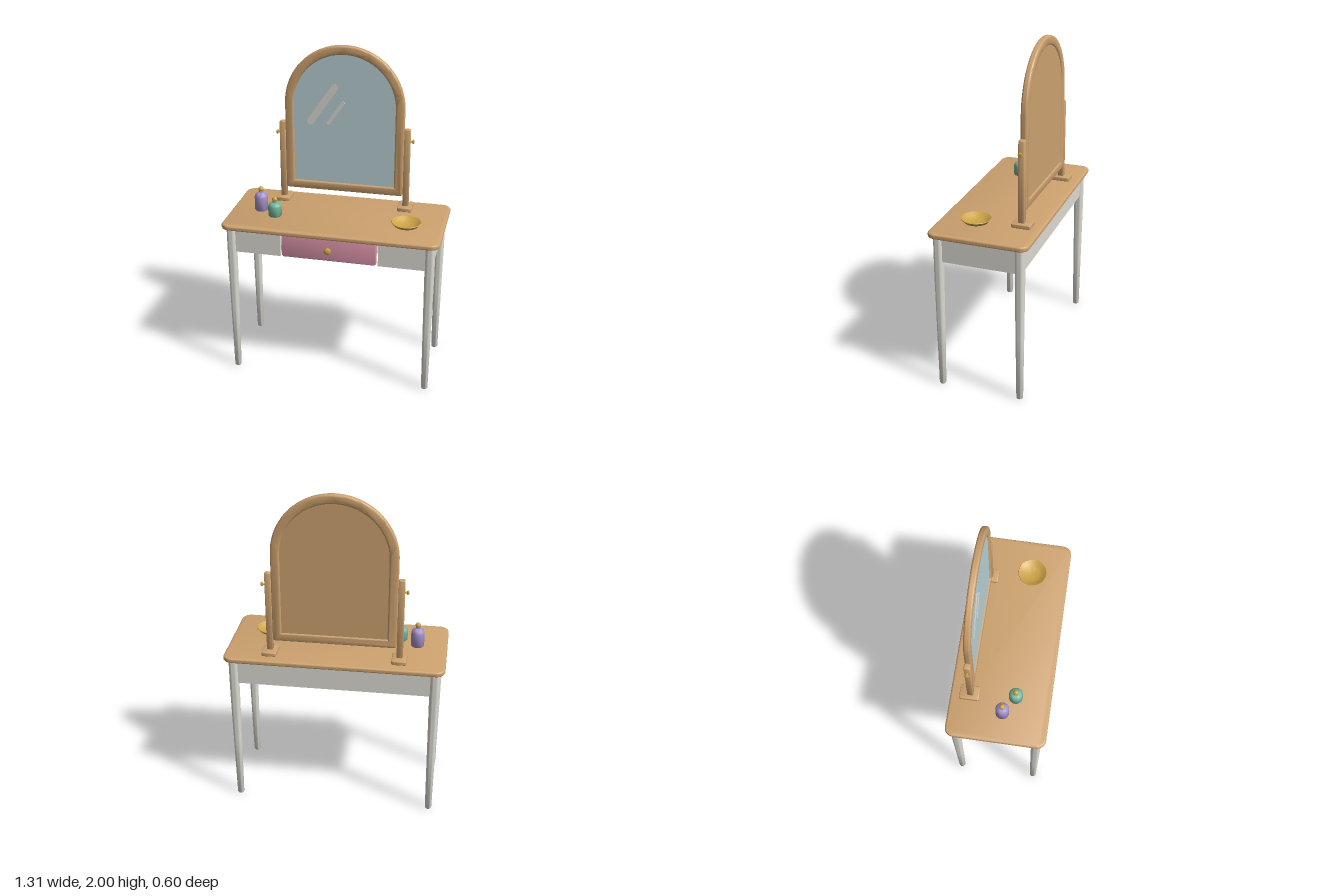
import * as THREE from 'three';
import { toCreasedNormals } from 'three/addons/utils/BufferGeometryUtils.js';

const mat = (name, color, side = THREE.FrontSide) => {
  const m = new THREE.MeshStandardMaterial({ color, side });
  m.name = name;
  return m;
};

export function createModel() {
  const wood = mat('wood', 0xcda26f);
  const paint = mat('whitePaint', 0xdedbd3);
  const pink = mat('pinkPaint', 0xdc94a9);
  const glass = mat('mirrorGlass', 0xb9d0d5);
  const brass = mat('brass', 0xcfa548, THREE.DoubleSide);
  const purple = mat('purpleGlass', 0xa391c9);
  const teal = mat('tealGlass', 0x74b39b);

  const root = new THREE.Group();
  root.name = 'vanityTable';

  const add = (name, geo, material, x = 0, y = 0, z = 0, parent = root) => {
    const mesh = new THREE.Mesh(geo, material);
    mesh.name = name;
    mesh.position.set(x, y, z);
    parent.add(mesh);
    return mesh;
  };
  const box = (name, w, h, d, material, x, y, z) =>
    add(name, new THREE.BoxGeometry(w, h, d), material, x, y, z);
  const lathe = (pts, seg = 20) => toCreasedNormals(
    new THREE.LatheGeometry(pts.map(p => new THREE.Vector2(...p)), seg).toNonIndexed(), 0.7);

  // Rounded rectangle outline centred on the origin
  const roundRect = (w, h, r) => {
    const s = new THREE.Shape(), x = w / 2, y = h / 2;
    s.moveTo(-x + r, -y);
    s.lineTo(x - r, -y);
    s.absarc(x - r, -y + r, r, -Math.PI / 2, 0);
    s.absarc(x - r, y - r, r, 0, Math.PI / 2);
    s.absarc(-x + r, y - r, r, Math.PI / 2, Math.PI);
    s.absarc(-x + r, -y + r, r, Math.PI, Math.PI * 1.5);
    return s;
  };
  // Arched outline: straight sides, half-round head, optional rounded feet
  const arch = (r, bottom, spring, corner, Type = THREE.Shape) => {
    const s = new Type();
    s.moveTo(-r + corner, bottom);
    s.lineTo(r - corner, bottom);
    s.quadraticCurveTo(r, bottom, r, bottom + corner);
    s.lineTo(r, spring);
    s.absarc(0, spring, r, 0, Math.PI);
    s.lineTo(-r, bottom + corner);
    s.quadraticCurveTo(-r, bottom, -r + corner, bottom);
    return s;
  };
  // Extrusion centred in depth whose bevel stays inside the outline
  const slab = (shape, depth, bevel = 0, curveSegments = 8) => {
    const g = new THREE.ExtrudeGeometry(shape, {
      depth: depth - 2 * bevel, bevelEnabled: bevel > 0, bevelSize: bevel,
      bevelThickness: bevel, bevelOffset: -bevel, bevelSegments: 4, curveSegments,
    });
    g.translate(0, 0, bevel - depth / 2);
    return toCreasedNormals(g, 0.6);
  };

  // Table top
  add('tableTop', slab(roundRect(1.31, 0.6, 0.055), 0.032, 0.013).rotateX(-Math.PI / 2),
    wood, 0, 0.984, 0);

  // Tapered round legs
  const legGeo = lathe([[0, 0], [0.017, 0], [0.02, 0.005], [0.025, 0.4],
    [0.029, 0.75], [0.029, 0.972], [0, 0.972]]);
  for (const x of [-0.598, 0.598])
    for (const z of [-0.243, 0.243]) add('leg', legGeo, paint, x, 0, z);

  // Aprons, with drawer dividers and runners underneath
  const apronY = 0.892, apronH = 0.155;
  box('backApron', 1.19, apronH, 0.024, paint, 0, apronY, -0.243);
  for (const s of [-1, 1]) {
    box('sideApron', 0.024, apronH, 0.48, paint, s * 0.598, apronY, 0);
    box('frontApron', 0.3, apronH, 0.024, paint, s * 0.445, apronY, 0.243);
    box('drawerRunner', 0.022, 0.05, 0.46, paint, s * 0.306, 0.85, 0);
  }

  // Drawer: front, tray and knob
  add('drawerFront', slab(roundRect(0.57, 0.149, 0.014), 0.03, 0.006), pink, 0, 0.891, 0.246);
  box('drawerBottom', 0.54, 0.012, 0.42, paint, 0, 0.836, 0.02);
  box('drawerBack', 0.54, 0.1, 0.012, paint, 0, 0.886, -0.184);
  for (const s of [-1, 1]) box('drawerSide', 0.012, 0.1, 0.42, paint, s * 0.264, 0.886, 0.02);
  add('drawerKnob', lathe([[0, 0], [0.01, 0], [0.01, 0.014], [0.021, 0.02], [0.021, 0.03],
    [0.013, 0.036], [0, 0.037]], 10).rotateX(Math.PI / 2), brass, 0, 0.891, 0.26);

  // Swing mirror
  const mirror = new THREE.Group();
  mirror.name = 'mirror';
  mirror.position.z = -0.18;
  root.add(mirror);
  const frame = arch(0.365, 1.085, 1.635, 0.02);
  frame.holes.push(arch(0.31, 1.14, 1.635, 0, THREE.Path));
  add('mirrorFrame', slab(frame, 0.038, 0.012, 28), wood, 0, 0, 0, mirror);
  const pane = arch(0.325, 1.125, 1.635, 0);
  add('mirrorGlass', slab(pane, 0.008, 0, 28), glass, 0, 0, 0.006, mirror);
  add('mirrorBack', slab(pane, 0.012, 0, 28), wood, 0, 0, -0.006, mirror);

  // Slanted glints on the glass
  const glint = (x, y, length, width) => {
    const m = add('glint', slab(roundRect(width, length, width * 0.49), 0.004),
      paint, x, y, 0.011, mirror);
    m.rotation.z = -0.6;
  };
  glint(-0.133, 1.635, 0.305, 0.042);
  glint(-0.052, 1.587, 0.18, 0.022);

  // Mirror posts, feet and pivot screws
  const footGeo = slab(roundRect(0.088, 0.118, 0.01), 0.026, 0.007).rotateX(-Math.PI / 2);
  const postGeo = slab(roundRect(0.036, 0.5, 0.006), 0.036, 0.005);
  const screwGeo = lathe([[0, -0.04], [0.006, -0.04], [0.006, 0.012], [0.013, 0.015],
    [0.013, 0.022], [0.008, 0.026], [0, 0.026]], 10);
  for (const s of [-1, 1]) {
    add('mirrorFoot', footGeo, wood, s * 0.383, 1.013, -0.185);
    add('mirrorPost', postGeo, wood, s * 0.384, 1.265, -0.18);
    add('pivotScrew', screwGeo, brass, s * 0.4, 1.44, -0.18).rotation.z = -s * Math.PI / 2;
  }

  // Perfume bottles with faceted stoppers
  const bottle = (name, material, x, z, r, h) => {
    const g = new THREE.Group();
    g.name = name;
    g.position.set(x, 1, z);
    root.add(g);
    add('bottleBody', lathe([[0, 0], [r * 0.9, 0], [r, 0.006], [r, h * 0.72], [r * 0.9, h * 0.86],
      [r * 0.65, h * 0.95], [r * 0.35, h], [r * 0.33, h + 0.01], [0, h + 0.01]]), material, 0, 0, 0, g);
    add('stopper', new THREE.SphereGeometry(0.017, 8, 6), brass, 0, h + 0.018, 0, g);
  };
  bottle('purpleBottle', purple, -0.475, 0.022, 0.04, 0.118);
  bottle('tealBottle', teal, -0.37, 0.088, 0.041, 0.088);

  // Shallow brass dish
  add('dish', lathe([[0, 0], [0.045, 0], [0.07, 0.012], [0.088, 0.032], [0.086, 0.035],
    [0.082, 0.033], [0.066, 0.018], [0.042, 0.008], [0, 0.006]], 28), brass, 0.43, 1, 0.078);

  return root;
}
